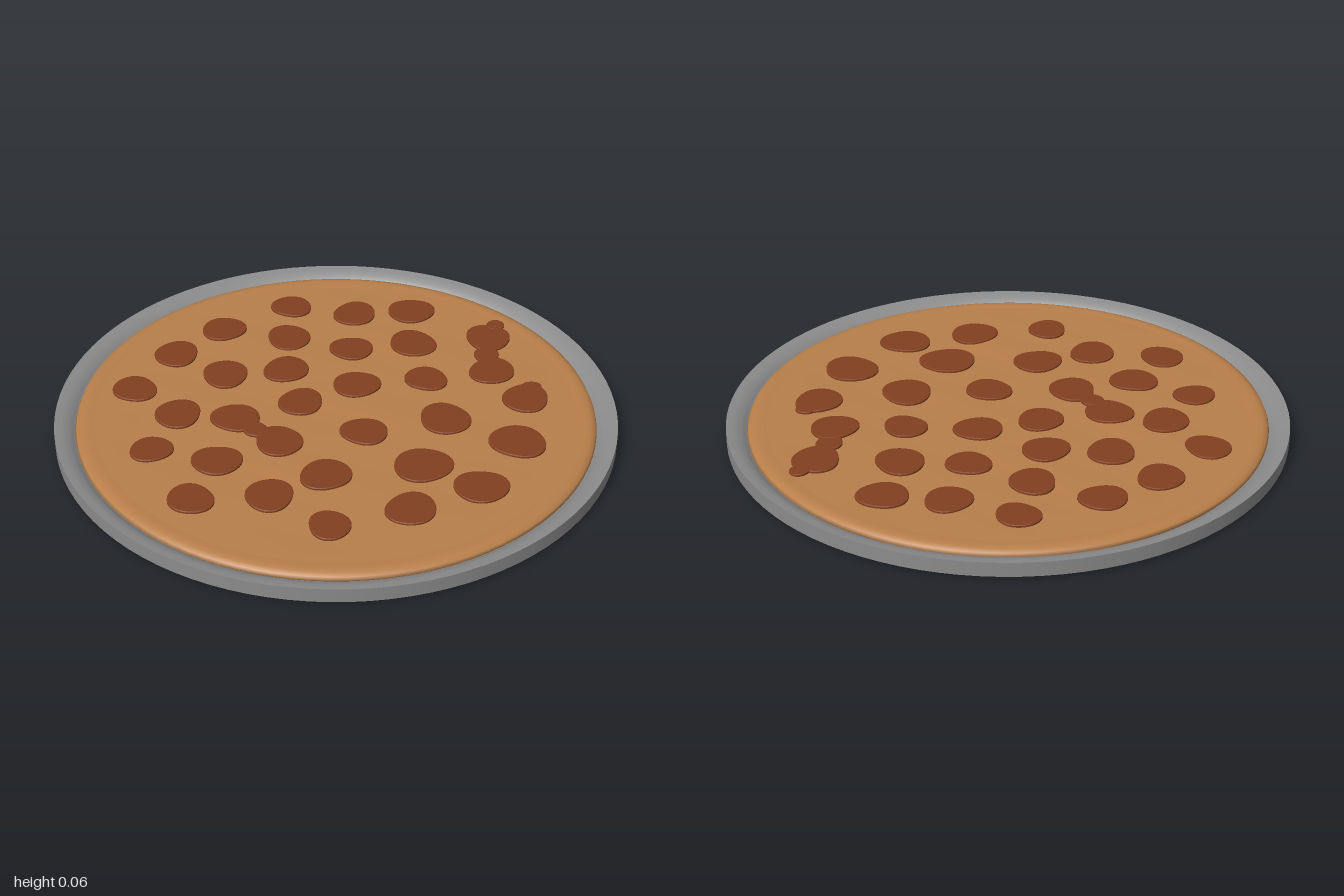
import * as THREE from 'three';

const trayGrey = new THREE.MeshStandardMaterial({ color: 0x8c8c8c });
trayGrey.name = 'trayGrey';
const bakedCheese = new THREE.MeshStandardMaterial({ color: 0xb87f4a });
bakedCheese.name = 'bakedCheese';
const sausageRed = new THREE.MeshStandardMaterial({ color: 0x824020 });
sausageRed.name = 'sausageRed';

// x, z, radius of each slice
const SLICES = [
  [-0.35, -0.6, 0.085], [-0.12, -0.67, 0.083], [0.18, -0.69, 0.077], [0.07, -0.5, 0.085],
  [0.37, -0.53, 0.084], [0.57, -0.44, 0.088], [-0.58, -0.46, 0.082], [-0.25, -0.39, 0.088],
  [-0.04, -0.31, 0.085], [0.24, -0.32, 0.08], [0.46, -0.24, 0.09], [-0.51, -0.24, 0.087],
  [-0.68, -0.09, 0.076], [-0.34, -0.12, 0.088], [-0.27, 0.08, 0.088], [-0.09, -0.1, 0.084],
  [0.14, -0.1, 0.086], [0.38, -0.01, 0.079], [0.73, -0.14, 0.088], [0.62, 0.06, 0.086],
  [-0.51, 0.08, 0.088], [-0.68, 0.23, 0.083], [-0.44, 0.34, 0.088], [-0.22, 0.33, 0.09],
  [0.02, 0.17, 0.084], [0.31, 0.24, 0.095], [0.63, 0.27, 0.088], [0.1, 0.44, 0.102],
  [0.46, 0.48, 0.1], [-0.34, 0.58, 0.076], [-0.06, 0.63, 0.09], [0.21, 0.64, 0.094],
];
// small pieces that join neighbouring slices
const BRIDGES = [[-0.31, -0.02, 0.045], [0.66, -0.04, 0.05], [0.8, -0.2, 0.035], [0.69, 0.22, 0.035]];

const lathe = (points, material, name) => {
  const geometry = new THREE.LatheGeometry(points.map(([r, y]) => new THREE.Vector2(r, y)), 96);
  const mesh = new THREE.Mesh(geometry, material);
  mesh.name = name;
  return mesh;
};

// Thin disc with a wobbly outline and a softly rounded edge
function makeSlice([x, z, radius], i) {
  const outline = Array.from({ length: 28 }, (_, k) => {
    const a = (k / 28) * Math.PI * 2;
    const r = radius * (0.97 + 0.05 * Math.sin(2 * a + i * 1.7) + 0.035 * Math.sin(3 * a + i * 2.9));
    return new THREE.Vector2(r * Math.cos(a), r * Math.sin(a));
  });
  const geometry = new THREE.ExtrudeGeometry(new THREE.Shape(outline), {
    depth: 0.006, bevelEnabled: true, bevelThickness: 0.002, bevelSize: 0.004, bevelOffset: -0.004, bevelSegments: 1,
  });
  geometry.rotateX(-Math.PI / 2);
  const mesh = new THREE.Mesh(geometry, sausageRed);
  mesh.name = 'sausageSlice';
  mesh.position.set(x, 0.052 + (i % 3) * 0.0008, z);
  return mesh;
}

export function createModel() {
  const model = new THREE.Group();
  model.name = 'pizzaOnTray';

  // Tray: flat base, upright wall, rim sloping inwards
  const tray = new THREE.Group();
  tray.name = 'tray';
  tray.add(
    lathe([[0, 0], [0.985, 0]], trayGrey, 'trayBase'),
    lathe([[0.985, 0], [1, 0.008]], trayGrey, 'trayBevel'),
    lathe([[1, 0.008], [1, 0.06]], trayGrey, 'trayWall'),
    lathe([[1, 0.06], [0.975, 0.056], [0.95, 0.049], [0.935, 0.036], [0.92, 0.025], [0.9, 0.022]], trayGrey, 'trayRim'),
  );
  model.add(tray);

  // Crust: rounded outer ring
  model.add(lathe([[0.918, 0.024], [0.927, 0.034], [0.922, 0.045], [0.905, 0.052], [0.885, 0.054], [0.86, 0.052]], bakedCheese, 'crust'));

  // Cheese: disc with faint ripples that fade out at the crust
  const rings = Array.from({ length: 29 }, (_, k) => [0.86 * (1 - k / 28), 0.052]);
  const cheese = lathe(rings, bakedCheese, 'cheese');
  const p = cheese.geometry.attributes.position;
  for (let i = 0; i < p.count; i++) {
    const x = p.getX(i), z = p.getZ(i), r = Math.hypot(x, z);
    const fade = Math.min(1, (0.86 - r) / 0.15);
    p.setY(i, 0.052 + 0.0018 * fade * (Math.sin(11 * x + 4 * z) * Math.cos(9 * z - 3 * x) + 0.4 * Math.sin(23 * x - 17 * z)));
  }
  cheese.geometry.computeVertexNormals();
  model.add(cheese);

  // Sausage slices
  const topping = new THREE.Group();
  topping.name = 'topping';
  [...SLICES, ...BRIDGES].forEach((s, i) => topping.add(makeSlice(s, i)));
  model.add(topping);

  return model;
}
